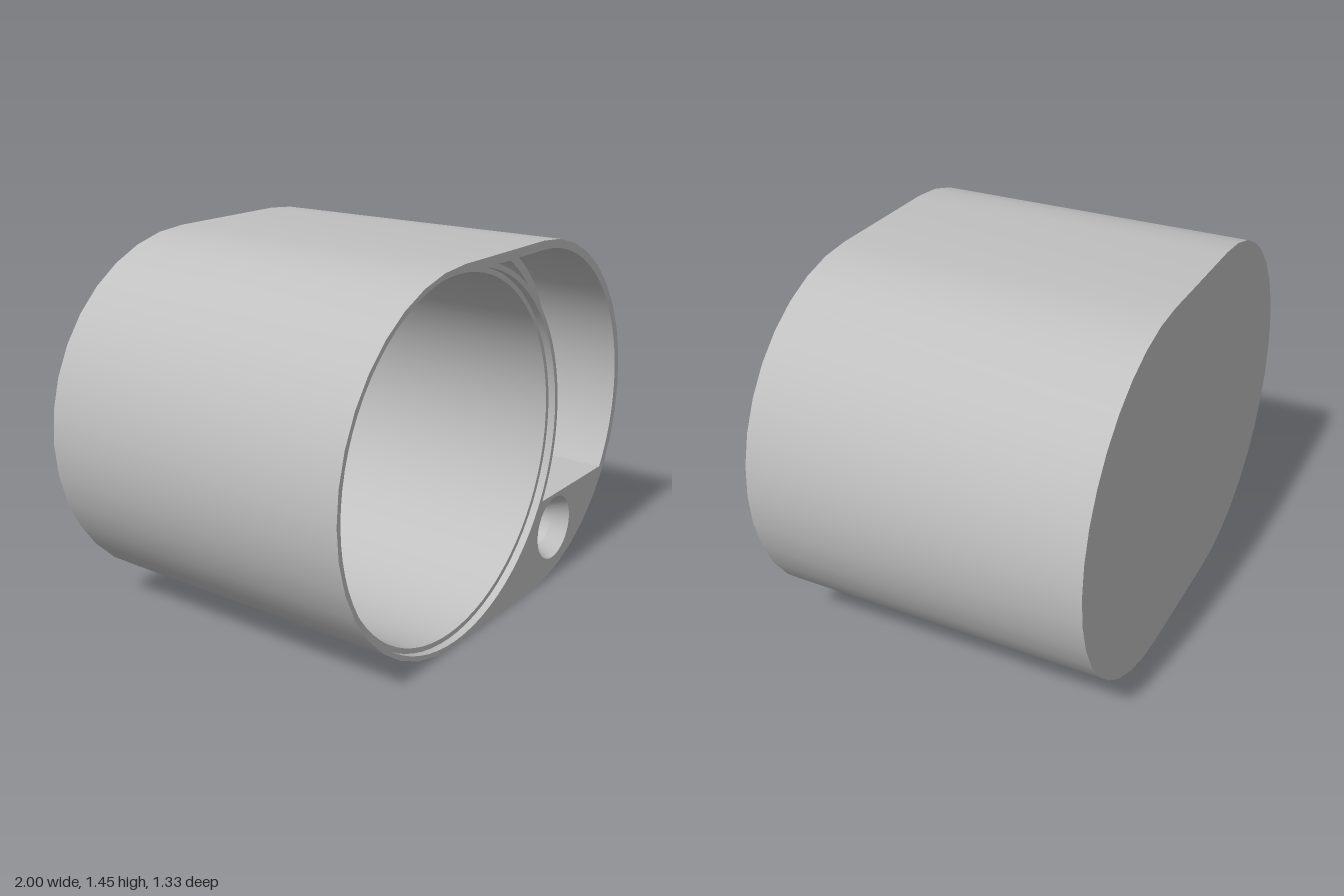
import * as THREE from 'three';
import { toCreasedNormals } from 'three/addons/utils/BufferGeometryUtils.js';

const CY = 0.725, SHIFT = 0.275;      // height of the centre line, offset of the two round ends
const FRONT = 0.667, FLOOR = 1.29;    // front plane, depth of the compartments

// Counter-clockwise or clockwise arc as points
function arc(cx, cy, r, a0, a1, n) {
  return Array.from({ length: n + 1 }, (_, i) => {
    const a = a0 + (a1 - a0) * i / n;
    return new THREE.Vector2(cx + r * Math.cos(a), cy + r * Math.sin(a));
  });
}
const circle = (cx, cy, r, n) => arc(cx, cy, r, 0, Math.PI * 2, n).slice(0, -1);

// Region outside the left cylinder (radius R) and inside the right end (radius r),
// between two heights measured from the centre line
function crescent(R, r, low, high) {
  return [
    ...arc(SHIFT, CY, r, Math.asin(low / r), Math.asin(high / r), 32),
    ...arc(-SHIFT, CY, R, Math.asin(high / R), Math.asin(low / R), 32),
  ];
}

export function createModel() {
  const group = new THREE.Group();
  const grey = new THREE.MeshStandardMaterial({ color: 0xc0c0c0 });
  grey.name = 'plain grey';

  function add(name, geometry) {
    const mesh = new THREE.Mesh(geometry, grey);
    mesh.name = name;
    group.add(mesh);
  }

  // Flat face at a depth behind the front plane
  function face(name, loop, depth, holes = [], backward = false) {
    const shape = new THREE.Shape(loop);
    shape.holes = holes.map((h) => new THREE.Path(h));
    const g = new THREE.ShapeGeometry(shape);
    if (backward) {
      const ix = g.index;
      for (let i = 0; i < ix.count; i += 3) {
        const t = ix.getX(i);
        ix.setX(i, ix.getX(i + 1));
        ix.setX(i + 1, t);
      }
      g.computeVertexNormals();
    }
    g.translate(0, 0, FRONT - depth);
    add(name, g);
  }

  // Wall joining two loops at two depths; inward walls line a cavity
  function wall(name, loopA, depthA, loopB, depthB, inward = true) {
    const pos = [];
    const n = loopA.length;
    const put = (p, d) => pos.push(p.x, p.y, FRONT - d);
    for (let i = 0; i < n; i++) {
      let k = i, j = (i + 1) % n;
      if (inward) [k, j] = [j, k];
      put(loopB[k], depthB); put(loopB[j], depthB); put(loopA[j], depthA);
      put(loopB[k], depthB); put(loopA[j], depthA); put(loopA[k], depthA);
    }
    const g = new THREE.BufferGeometry();
    g.setAttribute('position', new THREE.Float32BufferAttribute(pos, 3));
    add(name, toCreasedNormals(g, 0.5));
  }

  const outline = [
    ...arc(SHIFT, CY, CY, -Math.PI / 2, Math.PI / 2, 18),
    ...arc(-SHIFT, CY, CY, Math.PI / 2, Math.PI * 1.5, 18),
  ];
  const rim = circle(-SHIFT, CY, 0.705, 72);
  const bore = circle(-SHIFT, CY, 0.685, 72);
  const recess = crescent(0.725, 0.69, -0.35, 0.69);
  const opening = crescent(0.763, 0.65, -0.31, 0.65);
  const chamber = crescent(0.763, 0.65, -0.65, 0.65);
  const lip = crescent(0.763, 0.65, -0.65, -0.31);
  const sink = circle(0.47, 0.225, 0.135, 40);
  const screw = circle(0.47, 0.225, 0.1, 40);

  // Outer shell
  wall('outerShell', outline, 0, outline, FRONT * 2, false);
  face('frontFace', outline, 0, [rim, recess, sink]);
  face('backFace', outline, FRONT * 2, [], true);

  // Large round compartment with a shallow step at its mouth
  wall('boreRimWall', rim, 0, rim, 0.03);
  face('boreStep', rim, 0.03, [bore]);
  wall('boreWall', bore, 0.03, bore, FLOOR);
  face('boreFloor', bore, FLOOR);

  // Side compartment: lid recess, ledge, opening and wider chamber below
  wall('recessWall', recess, 0, recess, 0.33);
  face('recessLedge', recess, 0.33, [opening]);
  wall('openingWall', opening, 0.33, opening, 0.43);
  face('lipUnderside', lip, 0.43, [screw], true);
  wall('chamberWall', chamber, 0.43, chamber, FLOOR);
  face('chamberFloor', chamber, FLOOR);

  // Countersunk screw hole through the lip
  wall('countersink', sink, 0, screw, 0.07);
  wall('screwHole', screw, 0.07, screw, 0.43);

  return group;
}
